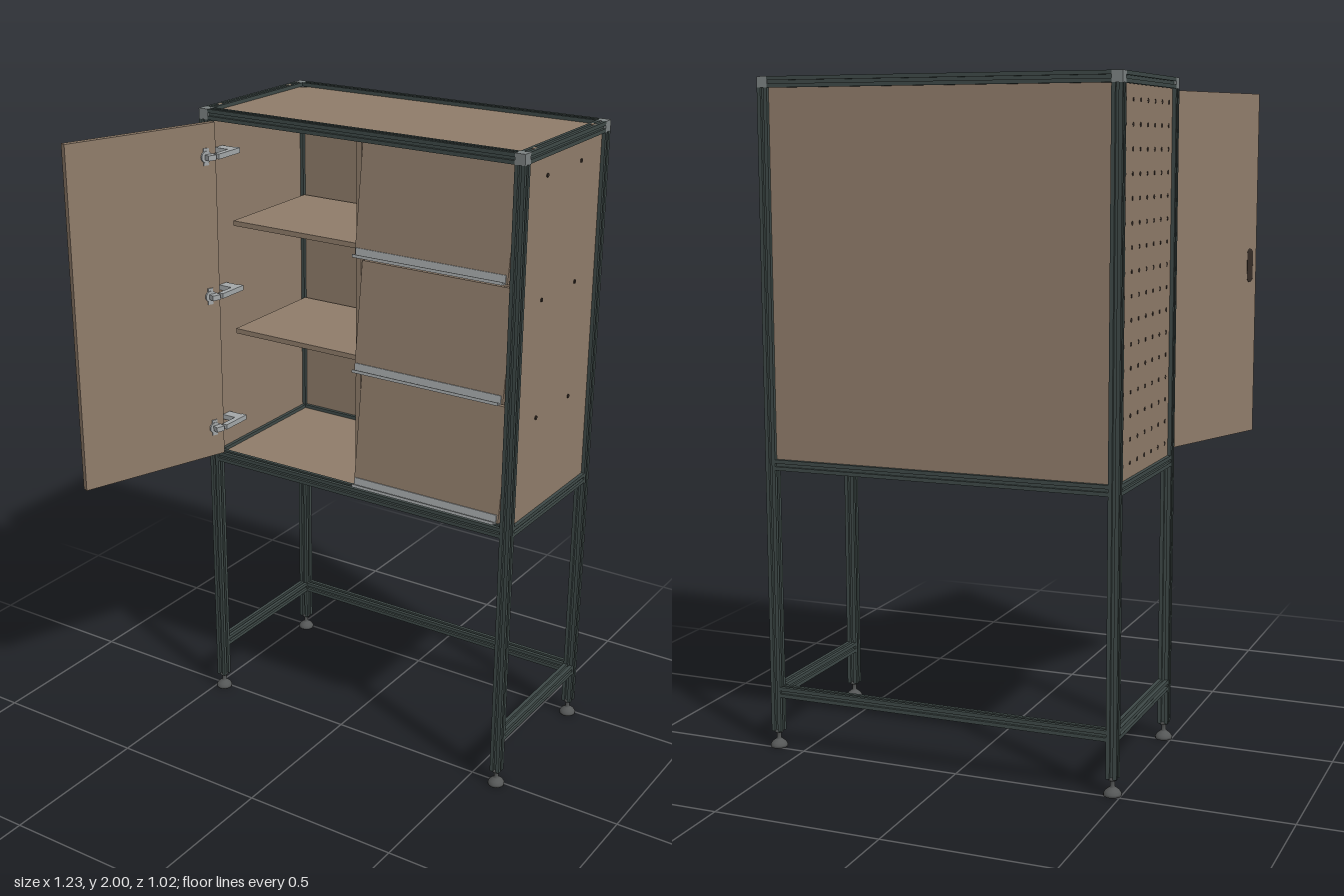
import * as THREE from 'three';

export function createModel() {
  const model = new THREE.Group();
  model.name = 'workshopCabinet';
  const material = (name, color, side = THREE.FrontSide) => {
    const m = new THREE.MeshStandardMaterial({ color, side });
    m.name = name;
    return m;
  };
  const frame = material('slate frame', 0x3e4947);
  const board = material('brown board', 0x8f7c6a);
  const steel = material('light steel', 0xa3a7a8);
  const joint = material('joint grey', 0x7c8282);
  const rubber = material('foot grey', 0x555757);
  const dark = material('dark hole', 0x352c26);

  const add = (name, geometry, mat, x = 0, y = 0, z = 0, parent = model) => {
    const mesh = new THREE.Mesh(geometry, mat);
    mesh.name = name;
    mesh.position.set(x, y, z);
    parent.add(mesh);
    return mesh;
  };
  // Box given by its limits on each axis
  const slab = (name, mat, x0, x1, y0, y1, z0, z1, parent = model) =>
    add(name, new THREE.BoxGeometry(x1 - x0, y1 - y0, z1 - z0), mat,
      (x0 + x1) / 2, (y0 + y1) / 2, (z0 + z1) / 2, parent);

  // Slotted square profile, one notch on each side
  const H = 0.016, S = 0.0048, D = 0.008;
  const outline = [];
  for (let i = 0; i < 4; i++) {
    const c = Math.round(Math.cos(i * Math.PI / 2)), s = Math.round(Math.sin(i * Math.PI / 2));
    for (const [a, b] of [[H, -H], [H, -S], [H - D, -S], [H - D, S], [H, S]]) {
      outline.push(new THREE.Vector2(a * c - b * s, a * s + b * c));
    }
  }
  const profile = new THREE.Shape(outline);
  const beam = (name, axis, from, to, x, y, z) => {
    const g = new THREE.ExtrudeGeometry(profile, { depth: to - from, bevelEnabled: false });
    g.translate(0, 0, from);
    if (axis === 'x') g.rotateY(Math.PI / 2);
    if (axis === 'y') g.rotateX(-Math.PI / 2);
    add(name, g, frame, x, y, z);
  };

  const XL = -0.475, XR = 0.592, ZF = 0.013, ZB = -0.485;
  const TOP = 1.984, MID = 0.873, LOW = 0.175;

  // Posts, corner joints and levelling feet
  const footProfile = [[0, 0], [0.026, 0], [0.026, 0.007], [0.021, 0.015], [0.011, 0.023],
    [0.007, 0.026], [0.007, 0.045], [0.013, 0.045], [0.013, 0.053], [0, 0.053]]
    .map(([r, y]) => new THREE.Vector2(r, y));
  for (const x of [XL, XR]) {
    for (const z of [ZF, ZB]) {
      beam('post', 'y', 0.05, 1.968, x, 0, z);
      slab('cornerJoint', joint, x - H, x + H, 1.968, 2, z - H, z + H);
      add('foot', new THREE.LatheGeometry(footProfile, 20), rubber, x, 0, z);
    }
  }

  // Rails; the lowest level is open at the front
  for (const y of [TOP, MID, LOW]) {
    for (const x of [XL, XR]) beam('sideRail', 'z', ZB + H, ZF - H, x, y, 0);
    beam('backRail', 'x', XL + H, XR - H, 0, y, ZB);
    if (y !== LOW) beam('frontRail', 'x', XL + H, XR - H, 0, y, ZF);
  }
  beam('centreRail', 'z', ZB + H, ZF - H, 0.06, MID, 0);

  // Infill panels held in the slots
  const T = 0.0042;
  for (const x of [XL, XR]) slab('sidePanel', board, x - T, x + T, MID, TOP, ZB, ZF);
  slab('backPanel', board, XL, XR, MID, TOP, ZB - T, ZB + T);
  slab('bottomPanel', board, XL, XR, MID - T, MID + T, ZB, ZF);
  const cut = 0.03, x0 = XL + 0.008, x1 = XR - 0.008, z0 = ZB + 0.008, z1 = ZF - 0.008;
  const lid = new THREE.Shape([[x0 + cut, -z1], [x1 - cut, -z1], [x1, -z1 + cut], [x1, -z0 - cut],
    [x1 - cut, -z0], [x0 + cut, -z0], [x0, -z0 - cut], [x0, -z1 + cut]]
    .map(([a, b]) => new THREE.Vector2(a, b)));
  const lidGeometry = new THREE.ExtrudeGeometry(lid, { depth: 2 * T, bevelEnabled: false });
  add('topPanel', lidGeometry.rotateX(-Math.PI / 2), board, 0, TOP - T, 0);

  // Inside: divider and shelves
  slab('divider', board, 0.051, 0.068, MID + T, 1.968, ZB + T, -0.004);
  for (const y of [1.626, 1.272]) {
    slab('shelf', board, XL + 0.02, 0.051, y - 0.008, y + 0.008, -0.468, -0.08);
    slab('flapShelf', board, 0.068, XR - T, y - 0.008, y + 0.008, -0.468, -0.02);
  }

  // Flaps hinged at the top and leaning out at the bottom, each with a pull strip
  for (const [top, height] of [[1.965, 0.335], [1.61, 0.335], [1.255, 0.353]]) {
    const flap = new THREE.Group();
    flap.name = 'flap';
    flap.position.set(0, top, -0.015);
    flap.rotation.x = -0.042 / height;
    slab('flapBoard', board, 0.071, 0.573, -height, 0, -0.0085, 0.0085, flap);
    slab('pullPlate', steel, 0.075, 0.567, -height, -height + 0.026, 0.0085, 0.012, flap);
    slab('pullLip', steel, 0.075, 0.567, -height, -height + 0.004, 0.0085, 0.029, flap);
    slab('pullRim', steel, 0.075, 0.567, -height, -height + 0.009, 0.026, 0.029, flap);
    model.add(flap);
  }

  // Open door with an oval grip on its outer face
  const door = new THREE.Group();
  door.name = 'door';
  door.position.set(-0.437, 0, 0.031);
  door.rotation.y = -0.345;
  slab('doorBoard', board, -0.0095, 0.0095, 0.896, 1.966, 0, 0.502, door);
  const grip = new THREE.CapsuleGeometry(0.016, 0.075, 6, 16).scale(0.12, 1, 1);
  add('doorGrip', grip, dark, -0.0095, 1.43, 0.468, door);
  model.add(door);

  // Concealed hinges
  for (const y of [0.992, 1.43, 1.866]) {
    const cup = new THREE.CylinderGeometry(0.018, 0.018, 0.006, 20).rotateZ(Math.PI / 2);
    add('hingeCup', cup, steel, 0.0125, y, 0.035, door);
    slab('hingePlate', steel, 0.0095, 0.013, y - 0.026, y + 0.026, 0.026, 0.044, door);
    slab('hingeKnuckle', steel, 0.012, 0.036, y - 0.008, y + 0.008, 0.014, 0.042, door);
    slab('hingeArm', steel, -0.425, -0.407, y - 0.008, y + 0.008, -0.06, 0.045);
    slab('hingeMount', steel, XL + T, -0.42, y - 0.008, y + 0.008, -0.055, -0.02);
  }

  // Peg holes over the left side
  const hole = new THREE.CylinderGeometry(0.0065, 0.0065, 0.002, 10).rotateZ(Math.PI / 2);
  for (let i = 0; i < 7; i++) {
    for (let j = 0; j < 16; j++) {
      add('pegHole', hole, dark, XL - T, 0.93 + j * 0.0665, -0.437 + i * 0.067);
    }
  }

  // Screws on the right side and on the top rails
  const screw = new THREE.CylinderGeometry(0.006, 0.006, 0.006, 12).rotateZ(Math.PI / 2);
  for (const y of [1.19, 1.55, 1.91]) {
    for (const z of [-0.13, -0.34]) add('sideScrew', screw, dark, XR + T, y, z);
  }
  const plug = new THREE.CylinderGeometry(0.009, 0.009, 0.004, 14);
  for (const x of [XL, XR]) {
    for (const z of [-0.055, -0.418]) add('topPlug', plug, board, x, 1.998, z);
  }
  return model;
}
